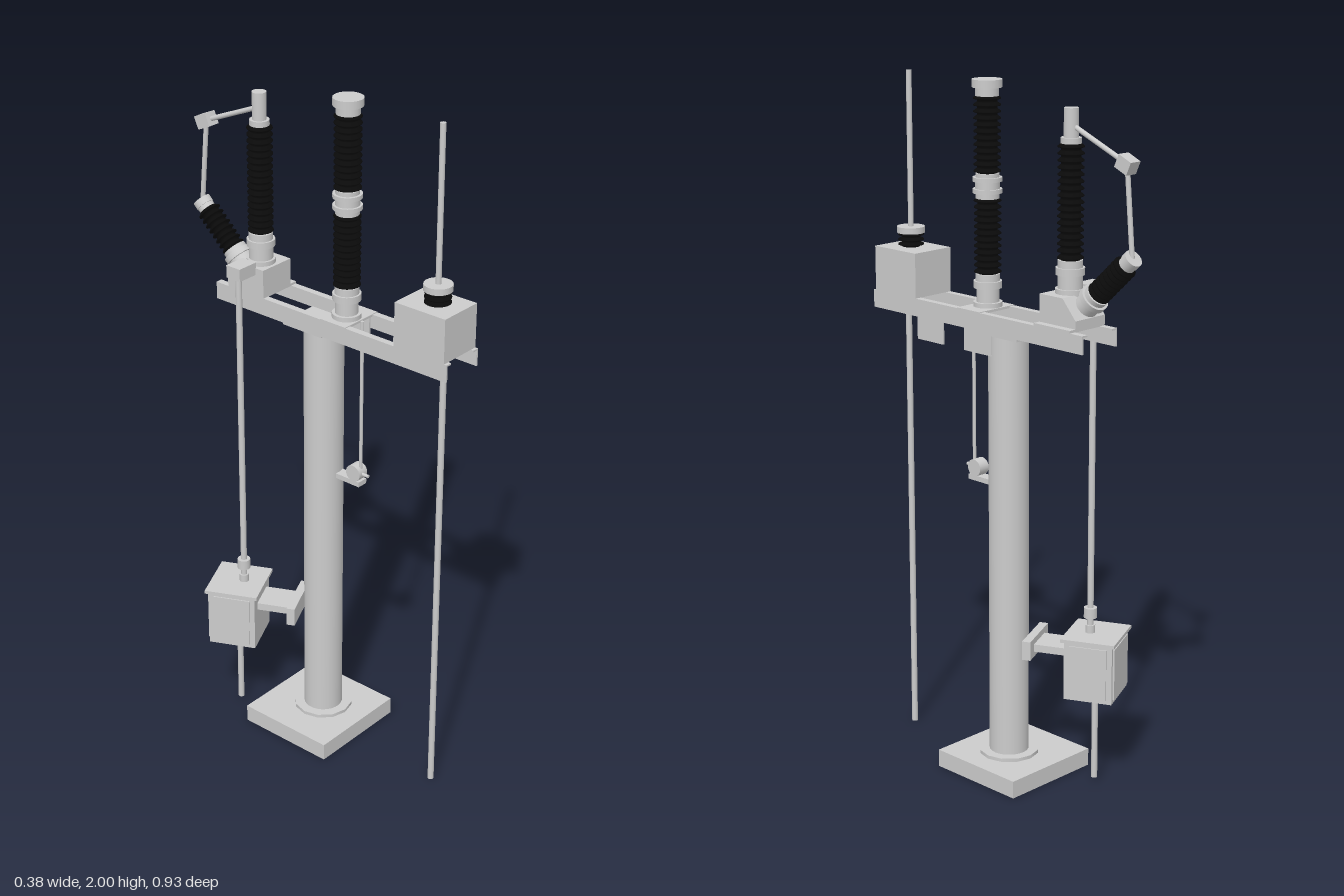
import * as THREE from 'three';

const grey = new THREE.MeshStandardMaterial({ color: 0xcccccc });
const greyDouble = new THREE.MeshStandardMaterial({ color: 0xcccccc, side: THREE.DoubleSide });
const black = new THREE.MeshStandardMaterial({ color: 0x0a0a0a });
const V = (x, y, z) => new THREE.Vector3(x, y, z);

function add(parent, name, geometry, material = grey) {
  const mesh = new THREE.Mesh(geometry, material);
  mesh.name = name;
  parent.add(mesh);
  return mesh;
}

// Box given by its min and max on each axis
function box(parent, name, x0, x1, y0, y1, z0, z1) {
  const g = new THREE.BoxGeometry(x1 - x0, y1 - y0, z1 - z0);
  g.translate((x0 + x1) / 2, (y0 + y1) / 2, (z0 + z1) / 2);
  return add(parent, name, g);
}

// Round bar between two points
function rod(parent, name, a, b, r, sides = 16) {
  const mesh = add(parent, name, new THREE.CylinderGeometry(r, r, a.distanceTo(b), sides));
  mesh.position.copy(a).lerp(b, 0.5);
  mesh.quaternion.setFromUnitVectors(V(0, 1, 0), b.clone().sub(a).normalize());
  return mesh;
}

// Stack of collars: each entry is [bottom, top, radius]
function collars(parent, name, list) {
  for (const [y0, y1, r] of list) rod(parent, name, V(0, y0, 0), V(0, y1, 0), r, 28);
}

// Ribbed insulator column along y
function sheds(parent, name, y0, y1, core, rim, count) {
  const pts = [new THREE.Vector2(0, y0)];
  const p = (y1 - y0) / count;
  for (let i = 0; i < count; i++) {
    const y = y0 + i * p;
    pts.push(new THREE.Vector2(core, y), new THREE.Vector2(core, y + p * 0.35),
      new THREE.Vector2(rim, y + p * 0.4), new THREE.Vector2(rim, y + p * 0.55),
      new THREE.Vector2(core, y + p * 0.95));
  }
  pts.push(new THREE.Vector2(core, y1), new THREE.Vector2(0, y1));
  add(parent, name, new THREE.LatheGeometry(pts, 28), black);
}

function group(parent, name, x = 0, y = 0, z = 0) {
  const g = new THREE.Group();
  g.name = name;
  g.position.set(x, y, z);
  parent.add(g);
  return g;
}

export function createModel() {
  const model = new THREE.Group();
  model.name = 'disconnectorPole';

  // Hollow footing, open underneath
  const base = group(model, 'base');
  box(base, 'baseTop', -0.127, 0.187, 0.042, 0.052, -0.168, 0.139);
  for (const x of [-0.127, 0.177]) box(base, 'baseSide', x, x + 0.01, 0, 0.044, -0.168, 0.139);
  for (const z of [-0.168, 0.129]) box(base, 'baseEnd', -0.119, 0.179, 0, 0.044, z, z + 0.01);

  // Column
  rod(model, 'columnFlange', V(0.042, 0.035, -0.008), V(0.042, 0.062, -0.008), 0.087, 12);
  rod(model, 'column', V(0.042, 0.035, -0.008), V(0.042, 1.32, -0.008), 0.057, 32);
  box(model, 'columnTopPlate', -0.015, 0.115, 1.312, 1.322, -0.11, 0.03);

  // Pair of angle rails with outer webs
  const rails = group(model, 'rails');
  for (const s of [-1, 1]) {
    const c = 0.0485, outer = c + s * 0.0685, web = outer - s * 0.005, inner = outer - s * 0.02;
    box(rails, 'railWeb', Math.min(outer, web), Math.max(outer, web), 1.32, 1.37, -0.355, 0.465);
    box(rails, 'railFlange', Math.min(outer, inner), Math.max(outer, inner), 1.366, 1.371, -0.355, 0.465);
  }
  box(rails, 'crossPlate', -0.02, 0.117, 1.366, 1.373, 0.03, 0.12);
  for (const [z0, z1] of [[0, 0.11], [0.195, 0.3]])
    box(rails, 'hangingPlate', 0.095, 0.1, 1.25, 1.37, z0, z1);

  // Front box with bushing and upright contact rod
  box(model, 'frontBox', -0.02, 0.117, 1.371, 1.5, 0.288, 0.456);
  const bushing = group(model, 'frontBushing', 0.047, 0, 0.38);
  sheds(bushing, 'bushingSheds', 1.5, 1.542, 0.025, 0.037, 3);
  collars(bushing, 'bushingCap', [[1.54, 1.558, 0.04]]);
  rod(bushing, 'contactRod', V(0, 1.55, 0), V(0, 2, 0), 0.008);
  rod(model, 'earthRod', V(0.012, 0, 0.432), V(0.012, 1.37, 0.432), 0.009);

  // Middle insulator in two sections
  const middle = group(model, 'middleInsulator', 0.04, 0, 0.075);
  collars(middle, 'insulatorFitting', [
    [1.37, 1.386, 0.041], [1.386, 1.43, 0.032], [1.425, 1.445, 0.04], [1.445, 1.465, 0.034],
    [1.675, 1.69, 0.033], [1.69, 1.702, 0.041], [1.702, 1.722, 0.034], [1.722, 1.734, 0.041],
    [1.734, 1.745, 0.033], [1.955, 1.98, 0.033], [1.978, 2.0, 0.042]]);
  sheds(middle, 'lowerSheds', 1.462, 1.678, 0.028, 0.038, 12);
  sheds(middle, 'upperSheds', 1.742, 1.958, 0.028, 0.038, 12);

  // Rear housing: wedge profile extruded across the rails
  const profile = new THREE.Shape([[-0.31, 1.371], [-0.177, 1.371], [-0.177, 1.455], [-0.262, 1.455], [-0.31, 1.4]]
    .map(([z, y]) => new THREE.Vector2(z, y)));
  const housing = new THREE.ExtrudeGeometry(profile, { depth: 0.115, bevelEnabled: false });
  housing.rotateY(-Math.PI / 2).translate(0.095, 0, 0);
  add(model, 'rearHousing', housing);
  box(model, 'rearPlate', -0.02, 0.117, 1.37, 1.378, -0.31, -0.177);

  // Rear upright insulator
  const rear = group(model, 'rearInsulator', 0.028, 0, -0.227);
  collars(rear, 'insulatorFitting', [[1.45, 1.468, 0.041], [1.468, 1.51, 0.034],
    [1.505, 1.525, 0.04], [1.525, 1.545, 0.034], [1.855, 1.872, 0.028], [1.87, 1.95, 0.02]]);
  sheds(rear, 'rearSheds', 1.542, 1.858, 0.027, 0.036, 17);

  // Rear slanted insulator
  const slanted = group(model, 'slantedInsulator', 0.028, 1.425, -0.285);
  slanted.quaternion.setFromUnitVectors(V(0, 1, 0), V(0, 0.68, -0.73).normalize());
  collars(slanted, 'insulatorFitting', [[-0.01, 0.03, 0.034], [0.03, 0.046, 0.041], [0.046, 0.06, 0.034],
    [0.193, 0.21, 0.024], [0.208, 0.228, 0.026]]);
  sheds(slanted, 'slantedSheds', 0.058, 0.195, 0.026, 0.034, 8);

  // Linkage joining the two rear insulators
  const joint = V(0.028, 1.823, -0.425);
  rod(model, 'upperLink', V(0.028, 1.905, -0.23), joint, 0.007);
  rod(model, 'lowerLink', joint, V(0.028, 1.575, -0.447), 0.007);
  const block = add(model, 'linkJoint', new THREE.BoxGeometry(0.038, 0.038, 0.046));
  block.position.copy(joint);
  block.rotation.x = -0.42;

  // Small crank on the column front
  const crank = group(model, 'crank');
  box(crank, 'crankBracket', 0.03, 0.064, 0.86, 0.875, 0.035, 0.132);
  rod(crank, 'crankDrum', V(0.03, 0.897, 0.11), V(0.064, 0.897, 0.11), 0.025, 20);
  rod(crank, 'crankStub', V(0.045, 0.897, 0.12), V(0.045, 0.897, 0.155), 0.005);
  rod(crank, 'crankRod', V(0.047, 0.9, 0.125), V(0.047, 1.37, 0.125), 0.005);

  // Turned control cabinet with its bracket to the column
  const cabinet = group(model, 'controlCabinet', -0.0775, 0, -0.238);
  cabinet.rotation.y = 0.445;
  box(cabinet, 'cabinetBody', -0.077, 0.077, 0.268, 0.442, -0.071, 0.071);
  box(cabinet, 'cabinetRoof', -0.086, 0.086, 0.442, 0.452, -0.08, 0.08);
  box(cabinet, 'cabinetDoor', -0.067, 0.067, 0.28, 0.432, -0.076, -0.07);
  for (const s of [-1, 1])
    box(cabinet, 'cabinetSidePanel', s * 0.0785 - 0.002, s * 0.0785 + 0.002, 0.28, 0.432, -0.055, 0.055);
  box(cabinet, 'bracketArm', -0.048, 0.048, 0.388, 0.41, 0.07, 0.175);
  box(cabinet, 'bracketClamp', -0.08, 0.08, 0.372, 0.428, 0.17, 0.195);

  // Drive shaft, gearbox and cable conduit
  const drive = group(model, 'driveShaft');
  const sx = -0.068, sz = -0.225;
  rod(drive, 'shaft', V(sx, 0.45, sz), V(sx, 1.44, sz), 0.009);
  rod(drive, 'couplingBase', V(sx, 0.45, sz), V(sx, 0.475, sz), 0.014);
  rod(drive, 'coupling', V(sx, 0.497, sz), V(sx, 0.527, sz), 0.019);
  box(drive, 'gearbox', -0.085, -0.018, 1.435, 1.472, -0.255, -0.205);
  rod(drive, 'conduit', V(-0.058, 0.015, -0.255), V(-0.058, 0.27, -0.255), 0.009);

  return model;
}
